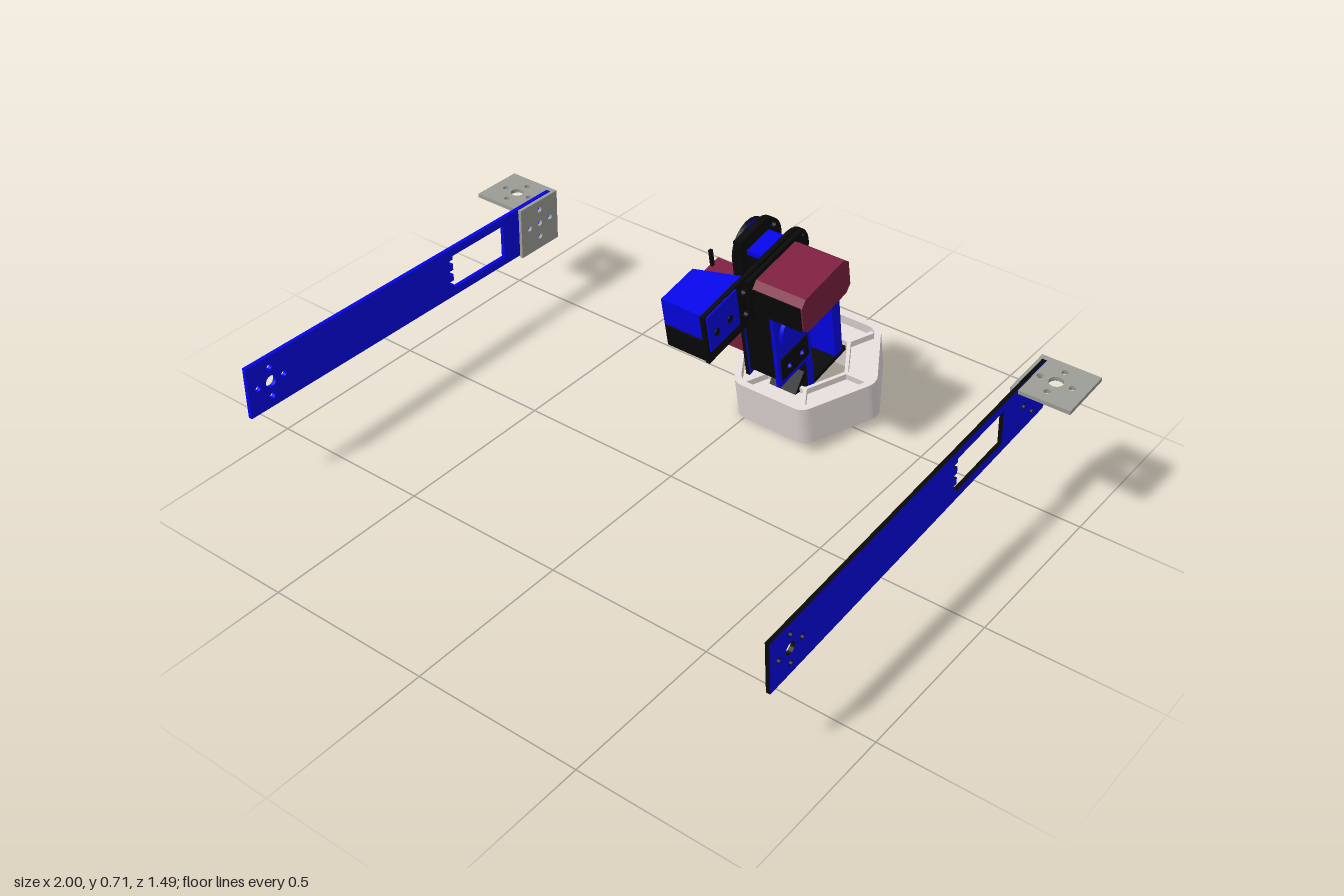
import * as THREE from 'three';

const mat = (name, color) => {
  const m = new THREE.MeshStandardMaterial({ color });
  m.name = name;
  return m;
};

export function createModel() {
  const blue = mat('blue', 0x0404ec);
  const black = mat('black', 0x080808);
  const red = mat('dark red', 0x7d2040);
  const pale = mat('pale grey', 0xe2d9d8);
  const grey = mat('bracket grey', 0x9c9c96);
  const model = new THREE.Group();

  const add = (parent, name, geo, material, x = 0, y = 0, z = 0) => {
    const m = new THREE.Mesh(geo, material);
    m.name = name;
    m.position.set(x, y, z);
    parent.add(m);
    return m;
  };
  const box = (parent, name, material, x0, x1, y0, y1, z0, z1) =>
    add(parent, name, new THREE.BoxGeometry(x1 - x0, y1 - y0, z1 - z0), material,
      (x0 + x1) / 2, (y0 + y1) / 2, (z0 + z1) / 2);
  const poly = pts => new THREE.Shape(pts.map(p => new THREE.Vector2(p[0], p[1])));
  const rect = (a, b, c, d) => poly([[a, c], [b, c], [b, d], [a, d]]);
  const hole = (shape, x, y, r) => shape.holes.push(new THREE.Path().absarc(x, y, r, 0, Math.PI * 2, true));
  // One larger hole with four small ones round it
  const hornHoles = (shape, x, y, r = 0.018, d = 0.046) => {
    hole(shape, x, y, r);
    for (const [i, j] of [[1, 0], [-1, 0], [0, 1], [0, -1]]) hole(shape, x + i * d, y + j * d, 0.009);
  };
  const extrude = (shape, depth) =>
    new THREE.ExtrudeGeometry(shape, { depth, bevelEnabled: false, curveSegments: 10 });
  // Plate drawn in (z, y), spanning x0..x1
  const sidePlate = (parent, name, shape, material, x0, x1) => {
    const g = extrude(shape, x1 - x0);
    g.rotateY(-Math.PI / 2);
    return add(parent, name, g, material, x1);
  };

  // Long side arms with angle brackets
  const sideArm = (side, y, tilt, edge) => {
    const arm = new THREE.Group();
    arm.name = side > 0 ? 'leftSideArm' : 'rightSideArm';
    arm.position.y = y;
    arm.rotation.x = tilt;
    const s = poly([[-0.49, -0.07], [-0.48, -0.08], [0.74, -0.08], [0.74, 0.08], [-0.48, 0.08], [-0.49, 0.07]]);
    // Window with a notched front end
    const win = [[-0.27, -0.054], [-0.05, -0.054]];
    for (const v of [-0.035, 0, 0.035]) {
      win.push([-0.05, v - 0.007], [-0.036, v - 0.007], [-0.036, v + 0.007], [-0.05, v + 0.007]);
    }
    win.push([-0.05, 0.054], [-0.27, 0.054]);
    s.holes.push(new THREE.Path(win.reverse().map(p => new THREE.Vector2(p[0], p[1]))));
    hornHoles(s, 0.66, 0);
    hornHoles(s, -0.42, 0, 0.01);
    const [a, b] = side > 0 ? [0.84, 0.852] : [-0.852, -0.84];
    sidePlate(arm, 'armPlate', s, [blue, edge], a, b);
    const f = rect(-0.5, -0.337, -0.086, 0.07);
    hornHoles(f, -0.42, 0, 0.01);
    const [c, d] = side > 0 ? [0.829, 0.839] : [-0.839, -0.829];
    sidePlate(arm, 'bracketUpright', f, grey, c, d);
    const t = rect(0.829, 1, 0.337, 0.5);
    hornHoles(t, 0.914, 0.42, 0.02);
    const flange = extrude(t, 0.012);
    flange.rotateX(-Math.PI / 2);
    if (side < 0) flange.rotateY(Math.PI).translate(0, 0, -0.837);
    add(arm, 'bracketFlange', flange, grey, 0, 0.065, 0);
    model.add(arm);
  };
  sideArm(1, 0.38, 0.075, black);
  sideArm(-1, 0.318, -0.012, blue);

  // Tilted central arm
  const robot = new THREE.Group();
  robot.name = 'centralArm';
  robot.position.set(0.095, 0.104, -0.532);
  robot.rotation.x = 0.19;
  model.add(robot);

  // Hexagonal base
  const hexPath = (r, round, Type) => {
    const p = new Type();
    for (let i = 0; i < 6; i++) {
      const at = k => new THREE.Vector2(Math.cos(k * Math.PI / 3), Math.sin(k * Math.PI / 3)).multiplyScalar(r);
      const v = at(i), a = v.clone().lerp(at(i - 1), round), b = v.clone().lerp(at(i + 1), round);
      if (i === 0) p.moveTo(a.x, a.y); else p.lineTo(a.x, a.y);
      p.quadraticCurveTo(v.x, v.y, b.x, b.y);
    }
    p.closePath();
    return p;
  };
  const hexRing = (name, R, r, y0, y1, round) => {
    const s = hexPath(R, round, THREE.Shape);
    s.holes.push(hexPath(r, round, THREE.Path));
    const g = extrude(s, y1 - y0);
    g.rotateX(-Math.PI / 2);
    add(robot, name, g, pale, 0, y0);
  };
  hexRing('baseWall', 0.235, 0.213, -0.067, 0.067, 0.12);
  hexRing('baseFloor', 0.218, 0.125, 0.025, 0.035, 0.05);
  hexRing('baseInnerWall', 0.136, 0.124, -0.05, 0.055, 0.05);
  for (let i = 0; i < 6; i++) {
    const rib = add(robot, 'baseRib', new THREE.BoxGeometry(0.09, 0.105, 0.012).translate(0.172, 0, 0), pale, 0, 0.003);
    rib.rotation.y = i * Math.PI / 3;
  }

  // Bent strap behind, a narrow bridge, and the upright strut in front
  const strap = poly([[-0.083, 0.04], [-0.09, 0.345], [-0.08, 0.378], [-0.05, 0.395], [-0.02, 0.398],
    [-0.02, 0.368], [-0.035, 0.36], [-0.05, 0.34], [-0.047, 0.04]]);
  sidePlate(robot, 'bentStrap', strap, blue, -0.05, 0.06);
  box(robot, 'strapBridge', blue, 0.035, 0.06, 0.368, 0.398, -0.02, 0.04);
  box(robot, 'strapFront', blue, -0.05, 0.06, 0.37, 0.403, 0.04, 0.09);
  sidePlate(robot, 'frontStrut', rect(0.06, 0.09, -0.087, 0.37), [blue, black], -0.05, 0.06);
  box(robot, 'baseCrossBar', black, -0.05, 0.06, 0.03, 0.045, -0.1, 0.06);
  sidePlate(robot, 'baseGusset', poly([[0.085, 0.03], [0.14, 0.045], [0.085, 0.1]]), black, -0.04, 0.05);

  // Middle link: blue cheeks round a black core, the right one reaching the top joint
  const cheek = rect(0.07, 0.223, 0.15, 0.49);
  for (const y of [0.2, 0.44]) for (const z of [0.115, 0.175]) hole(cheek, z, y, 0.011);
  hornHoles(cheek, 0.147, 0.32, 0.015, 0.042);
  sidePlate(robot, 'linkCheekLeft', cheek, blue, 0.054, 0.066);
  const tall = new THREE.Shape();
  tall.moveTo(0.07, 0.15);
  tall.lineTo(0.223, 0.15);
  tall.lineTo(0.223, 0.57);
  tall.absarc(0.1465, 0.57, 0.0765, 0, Math.PI, false);
  sidePlate(robot, 'linkCheekRight', tall, [blue, black], -0.05, -0.038);
  box(robot, 'linkCore', black, -0.038, 0.052, 0.17, 0.47, 0.09, 0.215);
  const lower = rect(0.085, 0.21, 0.17, 0.245);
  for (const z of [0.115, 0.175]) hole(lower, z, 0.2, 0.011);
  sidePlate(robot, 'linkLowerPlate', lower, black, 0.066, 0.07);
  const horn = new THREE.CylinderGeometry(0.06, 0.06, 0.012, 20).rotateZ(Math.PI / 2);
  add(robot, 'elbowHorn', horn, blue, 0.073, 0.32, 0.147);

  // Lower motor on the right-hand side
  box(robot, 'lowerMotor', red, -0.205, -0.05, 0.22, 0.42, 0.1, 0.21);
  box(robot, 'lowerMotorPin', black, -0.203, -0.194, 0.42, 0.475, 0.13, 0.14);

  // Upper frame plates with rounded rear ends
  const roundPlate = front => {
    const s = new THREE.Shape();
    s.moveTo(0.125, 0.482);
    s.lineTo(front, 0.482);
    s.lineTo(front, 0.64);
    s.lineTo(0.125, 0.64);
    s.absarc(0.125, 0.561, 0.079, Math.PI / 2, Math.PI * 1.5, false);
    for (const y of [0.525, 0.6]) hole(s, 0.075, y, 0.011);
    return s;
  };
  const long = roundPlate(0.505);
  for (const y of [0.525, 0.6]) hole(long, 0.338, y, 0.011);
  sidePlate(robot, 'upperFrameLeft', long, black, 0.062, 0.074);
  sidePlate(robot, 'upperFrameRight', roundPlate(0.225), black, -0.037, -0.015);
  box(robot, 'upperJoint', black, -0.02, 0.064, 0.47, 0.585, 0.1, 0.2);
  box(robot, 'upperJointCap', blue, -0.015, 0.062, 0.585, 0.6, 0.1, 0.2);

  // Upper motor on the left-hand side
  box(robot, 'upperMotorFlange', black, 0.074, 0.085, 0.495, 0.628, 0.085, 0.33);
  const motor = poly([[0.1, 0.52], [0.12, 0.502], [0.295, 0.502], [0.315, 0.52],
    [0.315, 0.595], [0.295, 0.614], [0.12, 0.614], [0.1, 0.595]]);
  sidePlate(robot, 'upperMotor', motor, red, 0.085, 0.24);
  box(robot, 'upperMotorFace', black, 0.088, 0.236, 0.518, 0.597, 0.315, 0.319);

  // Front holder with a slanted rear edge, and its outer patch
  const holder = poly([[-0.065, -0.5], [0.062, -0.5], [0.062, -0.325], [-0.065, -0.365]]);
  const hg = extrude(holder, 0.155);
  hg.rotateX(-Math.PI / 2);
  add(robot, 'holder', hg, blue, 0, 0.485, 0);
  const patch = rect(0.37, 0.496, 0.518, 0.636);
  sidePlate(robot, 'holderPatch', patch, blue, 0.074, 0.079);
  for (const z of [0.41, 0.465]) {
    const screw = new THREE.CylinderGeometry(0.011, 0.011, 0.004, 12).rotateZ(Math.PI / 2);
    add(robot, 'holderScrew', screw, black, 0.079, 0.565, z);
  }
  box(robot, 'holderFace', black, -0.06, 0.07, 0.487, 0.555, 0.5, 0.505);
  return model;
}
